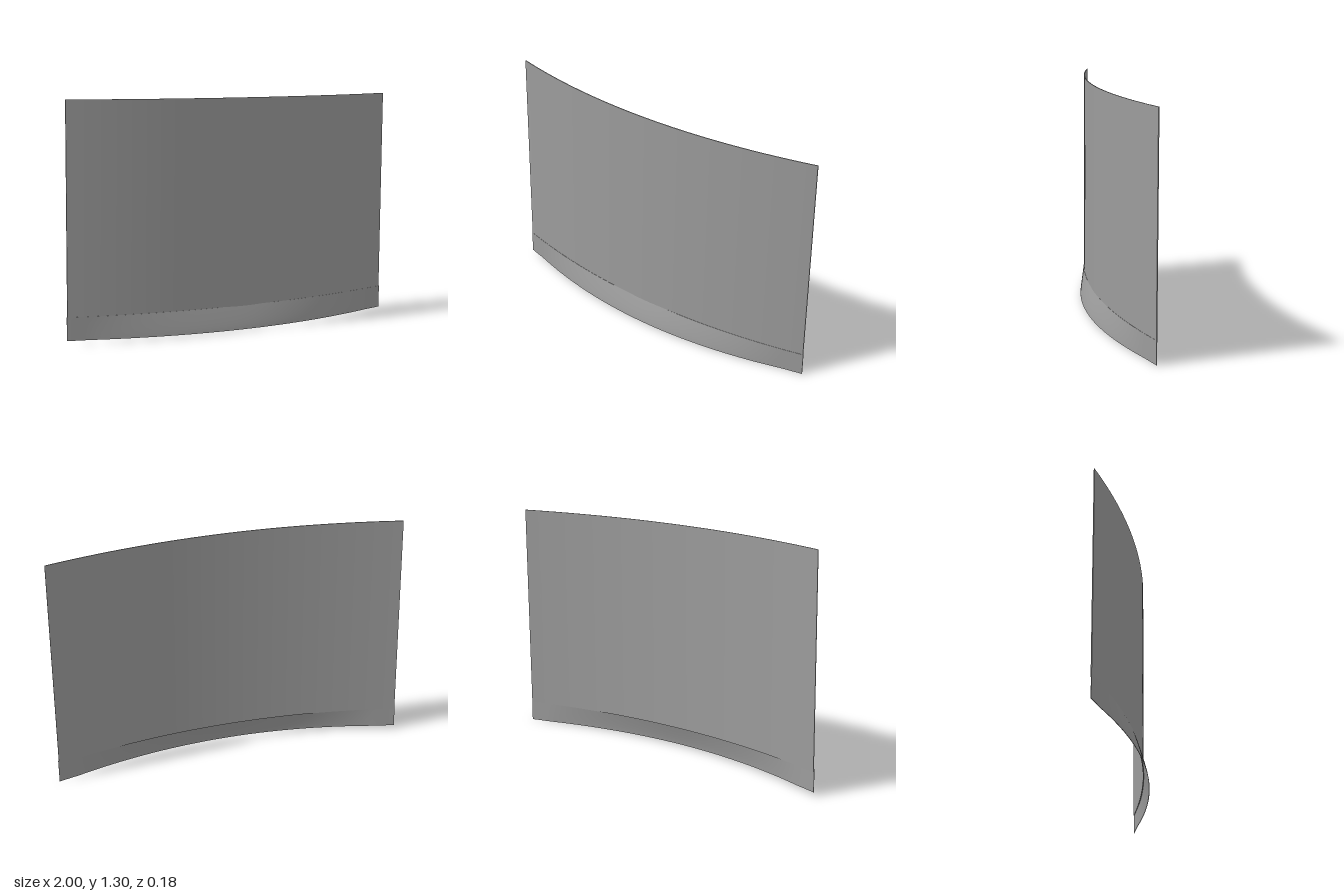
import * as THREE from 'three';

const material = new THREE.MeshStandardMaterial({ color: 0x9c9c9c, side: THREE.DoubleSide });

// Shared horizontal curve of the panel
const bow = (x) => 0.052 - 0.137 * x * x;
// Narrow bump around the middle
const middle = (x) => Math.exp(-((x / 0.17) ** 2));

// Thin curved plate: a box whose vertices follow bottom, top and bulge(x, t)
function plate(name, halfWidth, thickness, rows, bottom, top, bulge) {
  const geometry = new THREE.BoxGeometry(2, 1, 1, 64, rows, 1);
  const p = geometry.attributes.position;
  for (let i = 0; i < p.count; i++) {
    const x = p.getX(i) * halfWidth;
    const t = p.getY(i) + 0.5;
    const depth = (p.getZ(i) - 0.5) * thickness;
    p.setXYZ(i, x, THREE.MathUtils.lerp(bottom, top, t), bow(x) + bulge(x, t) + depth);
  }
  geometry.computeVertexNormals();
  const mesh = new THREE.Mesh(geometry, material);
  mesh.name = name;
  return mesh;
}

export function createModel() {
  const group = new THREE.Group();
  group.name = 'curvedPanel';

  // Tall curved sheet
  group.add(plate('mainSheet', 0.991, 0.005, 1, 0.111, 1.277, () => 0));

  // Lower strip, flaring forward in the middle and tucking behind the sheet there
  const flare = (x) => 0.036 * Math.max(0, 1 - (x / 0.88) ** 2);
  group.add(plate('flaredStrip', 0.994, 0.003, 10, 0, 0.127,
    (x, t) => flare(x) * (1 - t ** 1.2) + (0.0015 - 0.0025 * middle(x)) * t));

  // Slight sideways lean
  group.rotation.z = -0.01;
  group.position.set(-0.004, 0.01, 0);
  return group;
}
